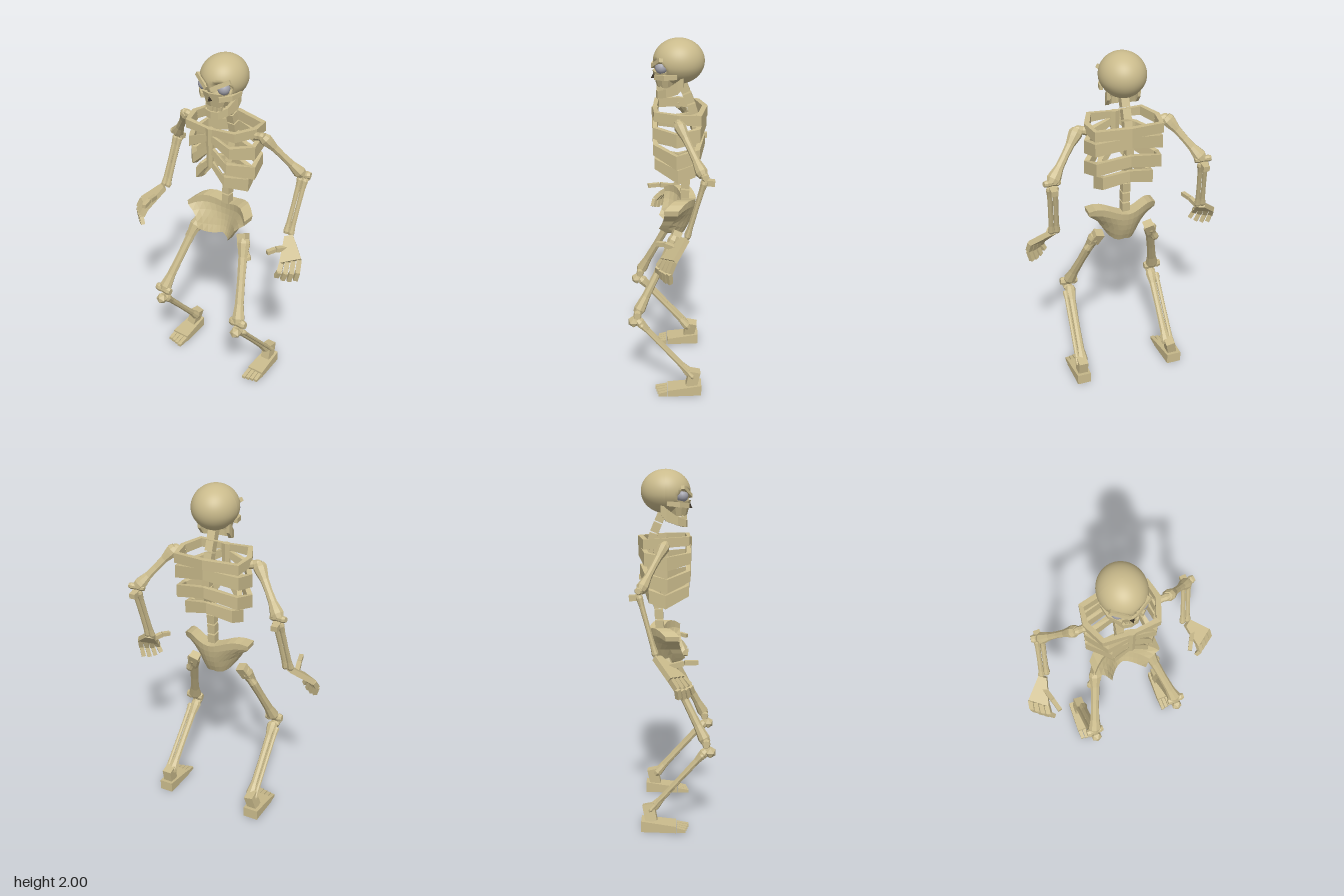
import * as THREE from 'three';
import { ConvexGeometry } from 'three/addons/geometries/ConvexGeometry.js';

const BONE = 0xcabb8c;
const flat = new THREE.MeshStandardMaterial({ color: BONE, flatShading: true });
const smooth = new THREE.MeshStandardMaterial({ color: BONE });
const eyeMat = new THREE.MeshStandardMaterial({ color: 0xa4a4ae });
const darkMat = new THREE.MeshStandardMaterial({ color: 0x3a3226 });
const CX = 0.024; // the body's mid plane
const V = (p) => new THREE.Vector3(...p);
const mix = (a, b, t) => a.map((v, i) => v + (b[i] - v) * t);

function add(parent, name, geo, mat = flat) {
  const m = new THREE.Mesh(geo, mat);
  m.name = name;
  parent.add(m);
  return m;
}

// Stand a mesh on point a with its y axis toward b and its x axis near `side`
function aim(mesh, a, b, side = [1, 0, 0]) {
  const y = V(b).sub(V(a)).normalize();
  const z = V(side).cross(y).normalize();
  const x = y.clone().cross(z);
  mesh.quaternion.setFromRotationMatrix(new THREE.Matrix4().makeBasis(x, y, z));
  mesh.position.copy(V(a));
  return mesh;
}

// Block between two points
function block(parent, name, a, b, w, d, side) {
  const len = V(a).distanceTo(V(b));
  return aim(add(parent, name, new THREE.BoxGeometry(w, len, d).translate(0, len / 2, 0)), a, b, side);
}

// Long bone: faceted shaft flaring into a knob at both ends
function bone(parent, name, a, b, r, flare = 1.8, depth = 0.85, side) {
  const L = V(a).distanceTo(V(b)), k = r * 1.2;
  const pts = [[0, 0], [r * flare * 0.75, 0], [r * flare, k * 0.8], [r * flare * 0.9, k * 1.6], [r, k * 3.2],
    [r * 0.9, L / 2], [r, L - k * 3.2], [r * flare * 0.9, L - k * 1.6], [r * flare, L - k * 0.8], [r * flare * 0.75, L], [0, L]];
  const geo = new THREE.LatheGeometry(pts.map((p) => new THREE.Vector2(...p)), 8).scale(1, 1, depth);
  return aim(add(parent, name, geo), a, b, side);
}

// Upright band swept along a path of [x, y, z, height, thickness]
function band(parent, name, path) {
  const rings = path.map((p, i) => {
    const q = path[Math.max(i - 1, 0)], s = path[Math.min(i + 1, path.length - 1)];
    const t = new THREE.Vector2(s[0] - q[0], s[2] - q[2]).normalize().multiplyScalar(p[4] / 2);
    return [[1, 1], [-1, 1], [-1, -1], [1, -1]].map(([n, u]) => [p[0] + n * t.y, p[1] + u * p[3] / 2, p[2] - n * t.x]);
  });
  const out = [];
  const quad = (a, b, c, d) => out.push(...a, ...b, ...c, ...a, ...c, ...d);
  for (let i = 0; i + 1 < rings.length; i++) {
    for (let j = 0; j < 4; j++) {
      const k = (j + 1) % 4;
      quad(rings[i][j], rings[i][k], rings[i + 1][k], rings[i + 1][j]);
    }
  }
  const [a, b, c, d] = rings[0];
  quad(a, d, c, b);
  quad(...rings[rings.length - 1]);
  const geo = new THREE.BufferGeometry();
  geo.setAttribute('position', new THREE.Float32BufferAttribute(out, 3));
  geo.computeVertexNormals();
  return add(parent, name, geo);
}

const mirrored = (half) => [...half, ...half.slice(0, -1).reverse().map(([x, ...r]) => [-x, ...r])];

function skull(body) {
  const g = new THREE.Group();
  g.name = 'skull';
  body.add(g);
  // Cranium with hollow eye sockets
  const geo = new THREE.SphereGeometry(1, 48, 36).scale(0.126, 0.121, 0.138).translate(0, 1.879, -0.05);
  const p = geo.attributes.position;
  for (let i = 0; i < p.count; i++) {
    const x = p.getX(i), y = p.getY(i);
    let z = p.getZ(i);
    if (z > 0) {
      const d = Math.hypot(Math.abs(x) - 0.06, (y - 1.855) * 1.15);
      z -= 0.05 * (1 - THREE.MathUtils.smoothstep(d, 0.026, 0.046));
    }
    p.setXYZ(i, x * (y < 1.85 ? 1 - (1.85 - y) * 0.8 : 1), y, z);
  }
  geo.computeVertexNormals();
  add(g, 'cranium', geo, smooth);
  // Upper jaw and nose hole
  add(g, 'upperJaw', new THREE.CylinderGeometry(0.085, 0.056, 0.085, 10).scale(1, 1, 0.8)).position.set(0, 1.788, 0.023);
  const nose = add(g, 'noseHole', new THREE.ConeGeometry(0.017, 0.035, 3), darkMat);
  nose.position.set(0, 1.805, 0.082);
  for (const s of [-1, 1]) {
    add(g, 'eye', new THREE.SphereGeometry(0.033, 20, 14), eyeMat).position.set(s * 0.062, 1.855, 0.043);
    block(g, 'brow', [s * 0.103, 1.902, 0.045], [s * 0.012, 1.853, 0.088], 0.022, 0.022, [0, 0, 1]);
    band(g, 'cheekbone', [[s * 0.112, 1.815, -0.04, 0.025, 0.018], [s * 0.098, 1.808, 0.025, 0.028, 0.022],
      [s * 0.05, 1.802, 0.076, 0.026, 0.018]]);
  }
  // Lower jaw, hung open
  band(g, 'lowerJaw', mirrored([[0.085, 1.785, -0.075, 0.06, 0.016], [0.083, 1.752, -0.045, 0.07, 0.018],
    [0.064, 1.718, 0.015, 0.045, 0.02], [0.034, 1.703, 0.056, 0.04, 0.02], [0, 1.701, 0.062, 0.04, 0.02]]));
  for (let i = -2; i <= 2; i++) {
    const z = 0.064 - i * i * 0.005;
    add(g, 'upperTooth', new THREE.BoxGeometry(0.017, 0.024, 0.012)).position.set(i * 0.021, 1.738, z);
    if (i) add(g, 'lowerTooth', new THREE.BoxGeometry(0.014, 0.022, 0.012)).position.set(i * 0.021, 1.727, z - 0.006);
  }
}

function torso(body) {
  // Spine
  const curve = new THREE.CatmullRomCurve3([[0, 1.1, -0.085], [0, 1.3, -0.1], [0, 1.48, -0.15], [0, 1.62, -0.125], [0, 1.77, -0.065]].map(V));
  for (let i = 0; i < 11; i++) {
    const a = curve.getPointAt(i / 11).toArray(), b = curve.getPointAt((i + 0.86) / 11).toArray();
    block(body, 'vertebra', a, b, 0.044, 0.048);
  }
  // Breastbone
  add(body, 'sternum', new THREE.CylinderGeometry(0.03, 0.02, 0.23, 6).scale(1, 1, 0.65)).position.set(0, 1.515, 0.078);
  // Ribs: breastbone, front corner, side, back corner, back middle
  const ribs = [
    [[0.01, 1.612, 0.08], [0.15, 1.615, 0.07], [0.198, 1.61, -0.05], [0.182, 1.6, -0.155], [0, 1.61, -0.192]],
    [[0.01, 1.575, 0.08], [0.125, 1.52, 0.078], [0.197, 1.495, -0.04], [0.18, 1.52, -0.15], [0, 1.555, -0.188]],
    [[0.01, 1.505, 0.078], [0.105, 1.42, 0.076], [0.2, 1.375, -0.04], [0.175, 1.405, -0.148], [0, 1.445, -0.18]],
    [[0.01, 1.425, 0.075], [0.085, 1.335, 0.07], [0.152, 1.28, -0.05], [0.135, 1.31, -0.128], [0, 1.345, -0.155]],
  ];
  ribs.forEach((rib, n) => {
    const h = n ? [0.04, 0.06, 0.075, 0.072, 0.062] : [0.035, 0.05, 0.05, 0.055, 0.055];
    band(body, 'rib', mirrored(rib.map((q, i) => [...q, h[i], i ? 0.03 : 0.02])));
  });
  // Pelvis: a thick bowl with flared hips, open to the front
  const geo = new THREE.BoxGeometry(2, 1, 1, 12, 5, 1);
  const p = geo.attributes.position;
  const widths = [0.105, 0.122, 0.135, 0.162, 0.195, 0.198];
  for (let i = 0; i < p.count; i++) {
    const u = p.getX(i), v = p.getY(i) + 0.5, w = p.getZ(i), a = Math.abs(u);
    const top = 1.1 + 0.032 * Math.sin(Math.PI * Math.min(1, a ** 1.6)) - 0.005 * a;
    const bottom = 0.915 - 0.012 * Math.sin(Math.PI * a) + 0.04 * a ** 4;
    p.setXYZ(i, u * widths[Math.round(v * 5)], bottom + (top - bottom) * v,
      -0.11 + 0.1 * u * u + (1 - v) ** 2 * 0.045 + w * (0.05 + 0.03 * v));
  }
  geo.computeVertexNormals();
  add(body, 'pelvis', geo);
}

// Hand from wrist, knuckles and fingertips of first and last finger, and thumb tip
function hand(parent, { wrist, base, tip, thumb }) {
  const g = new THREE.Group();
  g.name = 'hand';
  parent.add(g);
  const axis = V(base[1]).sub(V(base[0])).normalize();
  const n = V(mix(base[0], base[1], 0.5)).sub(V(wrist)).cross(axis).normalize().multiplyScalar(0.015);
  const pts = [];
  for (const s of [-1, 1]) {
    for (const [q, k] of [[wrist, -0.024], [wrist, 0.024], [base[0], -0.012], [base[1], 0.012]])
      pts.push(V(q).addScaledVector(axis, k).addScaledVector(n, s));
  }
  add(g, 'palm', new ConvexGeometry(pts));
  const side = axis.toArray(), out = Math.sign(wrist[0]);
  for (let i = 0; i < 4; i++) {
    const a = mix(base[0], base[1], i / 3), c = mix(tip[0], tip[1], i / 3);
    if (i === 1 || i === 2) c[1] -= 0.012;
    const b = mix(a, c, 0.5);
    b[0] += out * 0.012;
    b[2] += 0.014;
    block(g, 'fingerBase', a, mix(a, b, 0.93), 0.027, 0.027, side);
    block(g, 'fingerTip', b, c, 0.025, 0.024, side);
  }
  const root = mix(wrist, base[0], 0.45), mid = mix(root, thumb, 0.55);
  mid[1] += 0.008;
  block(g, 'thumbBase', root, mix(root, mid, 0.94), 0.026, 0.026, [0, 1, 0]);
  block(g, 'thumbTip', mid, thumb, 0.023, 0.024, [0, 1, 0]);
}

function arm(parent, s, shoulder, elbow, wrist) {
  bone(parent, 'upperArm', shoulder, elbow, 0.024, 1.6);
  bone(parent, 'shoulderHead', [shoulder[0] + s * 0.015, 1.603, -0.045], [shoulder[0] - s * 0.065, 1.59, -0.05], 0.018, 1.45);
  bone(parent, 'elbowJoint', [elbow[0] - s * 0.045, elbow[1] - 0.002, -0.165], [elbow[0] + s * 0.045, elbow[1] + 0.006, -0.18], 0.016, 1.4);
  block(parent, 'elbowPoint', [elbow[0], elbow[1] - 0.03, -0.17], [elbow[0], elbow[1] - 0.035, -0.228], 0.036, 0.03);
  for (const k of [-0.015, 0.015])
    bone(parent, 'forearm', [elbow[0] + k, elbow[1] - 0.02, elbow[2] - 0.008], [wrist[0] + k, wrist[1], wrist[2]], 0.015, 1.35);
}

function leg(parent, s, hip, knee, ankle, footX, footW) {
  const at = (q, x, y, z) => [q[0] + s * x, q[1] + y, q[2] + z];
  // Thigh with its head and outer bump
  bone(parent, 'thigh', hip, knee, 0.028, 1.4);
  block(parent, 'hipHead', at(hip, 0.012, -0.05, 0.02), at(hip, -0.018, 0.02, -0.012), 0.055, 0.05);
  bone(parent, 'hipBump', at(hip, 0.0, -0.03, 0.01), at(hip, 0.052, -0.115, 0.035), 0.019, 1.3);
  // Knee and the two shin bones
  bone(parent, 'kneeJoint', at(knee, -0.052, 0, 0), at(knee, 0.052, 0.005, 0), 0.02, 1.4);
  add(parent, 'kneecap', new THREE.IcosahedronGeometry(0.034, 0)).position.set(knee[0], 0.455, 0.203);
  bone(parent, 'shin', [knee[0] - s * 0.008, 0.465, 0.185], [ankle[0] - s * 0.008, ankle[1], ankle[2]], 0.022, 1.5);
  bone(parent, 'outerShin', [knee[0] + s * 0.026, 0.45, 0.165], at(ankle, 0.024, 0, -0.012), 0.013, 1.4);
  block(parent, 'ankle', [footX, 0.05, -0.125], [ankle[0], 0.145, -0.145], 0.055, 0.065);
  // Wedge foot, narrower at the heel, with four toes
  const geo = new THREE.BoxGeometry(footW, 0.06, 0.195);
  const p = geo.attributes.position;
  for (let i = 0; i < p.count; i++) {
    const back = p.getZ(i) < 0;
    p.setXYZ(i, p.getX(i) * (back ? 0.8 : 1), p.getY(i) < 0 ? 0 : back ? 0.064 : 0.038, p.getZ(i) - 0.085);
  }
  geo.computeVertexNormals();
  add(parent, 'foot', geo).position.x = footX;
  for (let i = 0; i < 4; i++) {
    const len = 0.068 - i * 0.006;
    const toe = new THREE.BoxGeometry(footW / 4 - 0.004, 0.03, len);
    const q = toe.attributes.position;
    for (let j = 0; j < q.count; j++) if (q.getY(j) > 0 && q.getZ(j) > 0) q.setY(j, 0.002);
    toe.computeVertexNormals();
    add(parent, 'toe', toe).position.set(footX + s * (i - 1.5) * footW / 4, 0.0155, 0.016 + len / 2);
  }
}

export function createModel() {
  const root = new THREE.Group();
  root.name = 'skeleton';
  const body = new THREE.Group();
  body.name = 'body';
  body.position.x = CX;
  root.add(body);
  skull(body);
  torso(body);
  arm(root, 1, [0.272, 1.605, -0.045], [0.455, 1.38, -0.17], [0.435, 1.035, -0.09]);
  arm(root, -1, [-0.225, 1.605, -0.045], [-0.4, 1.38, -0.17], [-0.435, 1.045, -0.09]);
  hand(root, { wrist: [0.445, 1.03, -0.08], base: [[0.475, 0.925, 0.035], [0.553, 0.95, -0.02]],
    tip: [[0.46, 0.845, 0.06], [0.548, 0.825, 0.0]], thumb: [0.4, 0.985, 0.07] });
  hand(root, { wrist: [-0.445, 1.04, -0.085], base: [[-0.48, 0.94, 0.05], [-0.555, 0.95, -0.01]],
    tip: [[-0.465, 0.855, 0.1], [-0.55, 0.85, 0.03]], thumb: [-0.425, 1.01, 0.13] });
  leg(root, 1, [0.18, 0.935, -0.035], [0.293, 0.51, 0.18], [0.313, 0.11, -0.125], 0.315, 0.1);
  leg(root, -1, [-0.15, 0.935, -0.035], [-0.252, 0.51, 0.18], [-0.248, 0.11, -0.125], -0.268, 0.11);
  return root;
}
